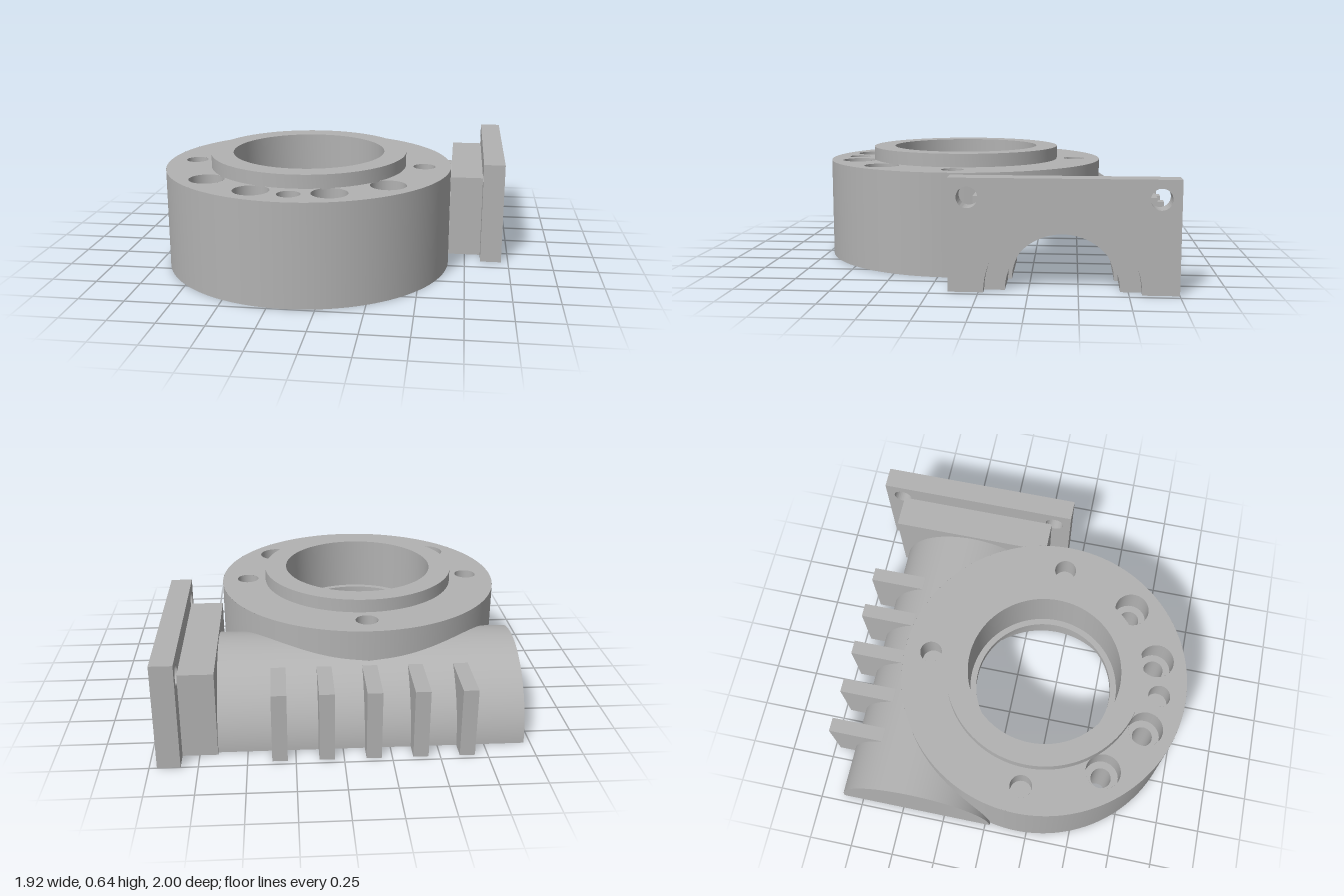
import * as THREE from 'three';
import { mergeGeometries, toCreasedNormals } from 'three/addons/utils/BufferGeometryUtils.js';

const CX = -0.155, CZ = 0.185;           // wheel ring axis
const WZ = -0.42, BORE = 0.27, TUBE = 0.447; // worm axis and radii
const RING = 0.81, CAVITY = 0.49, TOP = 0.565;

const metal = new THREE.MeshStandardMaterial({ color: 0xb2b2b2, side: THREE.DoubleSide });
metal.name = 'cast grey';

// Height of the worm bore above the base plane at a given z
const boreHeight = z => Math.sqrt(Math.max(0, BORE ** 2 - (z - WZ) ** 2));

function add(group, name, geometry, x = 0, y = 0, z = 0) {
  const mesh = new THREE.Mesh(geometry, metal);
  mesh.name = name;
  mesh.position.set(x, y, z);
  group.add(mesh);
  return mesh;
}

// Extrude a (z, y) outline along x
function extrudeX(shape, x0, x1) {
  const g = new THREE.ExtrudeGeometry(shape, { depth: x1 - x0, bevelEnabled: false, curveSegments: 48 });
  g.rotateY(-Math.PI / 2).translate(x1, 0, 0);
  return toCreasedNormals(g, 0.5);
}

function circlePath(x, y, r) {
  return new THREE.Path().absarc(x, y, r, 0, Math.PI * 2, true);
}

// Rectangle with a half-round notch on the worm axis
function notchedPlate(z0, z1, h, r) {
  const s = new THREE.Shape();
  s.moveTo(z0, 0);
  s.lineTo(z0, h);
  s.lineTo(z1, h);
  s.lineTo(z1, 0);
  s.lineTo(WZ + r, 0);
  s.absarc(WZ, 0, r, 0, Math.PI, false);
  return s;
}

// Surface swept along x from a (z, y) path, cut away inside a vertical cylinder
function sweptStrip(path, x0, x1, cut) {
  const pieces = [-1, 1].map(side => {
    const pos = [], idx = [];
    path.forEach(([z, y], i) => {
      const h = Math.sqrt(Math.max(0, cut ** 2 - (z - CZ) ** 2));
      const inner = CX + side * h;
      const [a, b] = side < 0 ? [x0, inner] : [inner, x1];
      pos.push(a, y, z, b, y, z);
      if (i) idx.push(2 * i - 2, 2 * i - 1, 2 * i, 2 * i - 1, 2 * i + 1, 2 * i);
    });
    const g = new THREE.BufferGeometry();
    g.setAttribute('position', new THREE.Float32BufferAttribute(pos, 3));
    g.setIndex(idx);
    g.computeVertexNormals();
    return g;
  });
  return mergeGeometries(pieces);
}

function halfArc(r, n = 96) {
  return Array.from({ length: n + 1 }, (_, i) => {
    const t = Math.PI * i / n;
    return [WZ + r * Math.cos(t), r * Math.sin(t)];
  });
}

// Vertical wall whose lower edge rises over the worm bore
function cutWall(r, top) {
  const g = new THREE.CylinderGeometry(r, r, top, 256, 1, true);
  const p = g.attributes.position;
  for (let i = 0; i < p.count; i++) {
    p.setY(i, p.getY(i) > 0 ? top : boreHeight(p.getZ(i) + CZ));
  }
  return g;
}

const tubeWall = (r, y0, y1) =>
  new THREE.CylinderGeometry(r, r, y1 - y0, 32, 1, true).translate(0, (y0 + y1) / 2, 0);
const disc = r => new THREE.CircleGeometry(r, 32).rotateX(-Math.PI / 2);

function buildRing() {
  const ring = new THREE.Group();
  ring.name = 'wheelRing';
  ring.position.set(CX, 0, CZ);

  const bolts = [[0.49, 0.425], [0.205, 0.615], [-0.205, 0.615], [-0.49, 0.425]];
  const topTaps = [[0.66, 0], [-0.66, 0], [0, 0.66], [0, -0.66]];
  const baseTaps = [[0.68, -0.13], [-0.68, -0.13]];

  add(ring, 'ringOuterWall', cutWall(RING, TOP));
  add(ring, 'wheelCavityWall', cutWall(CAVITY, 0.3));

  // Raised collar, stepped bore and cavity ceiling
  const profile = [[0.555, 0.56], [0.555, 0.64], [0.43, 0.64], [0.43, 0.34],
    [0.395, 0.34], [0.395, 0.3], [CAVITY, 0.3]].map(p => new THREE.Vector2(...p));
  add(ring, 'collarAndBore', toCreasedNormals(new THREE.LatheGeometry(profile, 128), 0.5));

  // Top face with holes
  const top = new THREE.Shape().absarc(0, 0, RING, 0, Math.PI * 2, false);
  top.holes.push(circlePath(0, 0, 0.55));
  bolts.forEach(([x, z]) => top.holes.push(circlePath(x, z, 0.097)));
  topTaps.forEach(([x, z]) => top.holes.push(circlePath(x, z, 0.062)));
  const topFace = new THREE.ShapeGeometry(top, 64);
  topFace.scale(1, -1, 1).rotateX(-Math.PI / 2);
  // Restore upward winding after the mirror
  const ti = topFace.index.array;
  for (let i = 0; i < ti.length; i += 3) [ti[i], ti[i + 1]] = [ti[i + 1], ti[i]];
  topFace.computeVertexNormals();
  add(ring, 'ringTopFace', topFace, 0, TOP, 0);

  // Base face, open towards the worm bore
  const chord = CZ - (WZ + BORE);
  const a = Math.asin(chord / RING), b = Math.asin(chord / CAVITY);
  const base = new THREE.Shape();
  base.absarc(0, 0, RING, -a, Math.PI + a, false);
  base.absarc(0, 0, CAVITY, Math.PI + b, -b, true);
  bolts.forEach(([x, z]) => base.holes.push(circlePath(x, z, 0.057)));
  baseTaps.forEach(([x, z]) => base.holes.push(circlePath(x, z, 0.055)));
  add(ring, 'ringBaseFace', new THREE.ShapeGeometry(base, 64).rotateX(Math.PI / 2));

  // Counterbored through holes
  const seat = 0.4;
  for (const [x, z] of bolts) {
    add(ring, 'counterboreWall', tubeWall(0.097, seat, TOP), x, 0, z);
    add(ring, 'counterboreSeat', new THREE.RingGeometry(0.057, 0.097, 32).rotateX(-Math.PI / 2), x, seat, z);
    add(ring, 'boltHoleWall', tubeWall(0.057, 0, seat), x, 0, z);
  }
  // Blind holes
  for (const [x, z] of topTaps) {
    add(ring, 'topHoleWall', tubeWall(0.062, 0.42, TOP), x, 0, z);
    add(ring, 'topHoleFloor', disc(0.062), x, 0.42, z);
  }
  for (const [x, z] of baseTaps) {
    add(ring, 'baseHoleWall', tubeWall(0.055, 0, 0.25), x, 0, z);
    add(ring, 'baseHoleEnd', disc(0.055), x, 0.25, z);
  }
  return ring;
}

function buildWormHousing() {
  const worm = new THREE.Group();
  worm.name = 'wormHousing';
  const x0 = -0.965, x1 = 0.655, inner = -0.92;

  add(worm, 'wormTube', sweptStrip(halfArc(TUBE), x0, x1, RING));
  add(worm, 'wormBore', sweptStrip(halfArc(BORE), inner, x1, CAVITY));
  add(worm, 'tubeBaseBack', sweptStrip([[WZ - TUBE, 0], [WZ - BORE, 0]], x0, x1, RING));
  add(worm, 'tubeBaseFront', sweptStrip([[WZ + BORE, 0], [WZ + TUBE, 0]], x0, x1, RING));

  // Closed end
  const half = r => new THREE.CircleGeometry(r, 64, 0, Math.PI);
  add(worm, 'tubeEndCap', half(TUBE).rotateY(-Math.PI / 2), x0, 0, WZ);
  add(worm, 'boreEndWall', half(BORE).rotateY(Math.PI / 2), inner, 0, WZ);
  const endBase = new THREE.PlaneGeometry(inner - x0, BORE * 2).rotateX(Math.PI / 2);
  add(worm, 'endBase', endBase, (inner + x0) / 2, 0, WZ);

  // Bearing block with the step down to the worm bore
  add(worm, 'bearingBlock', extrudeX(notchedPlate(-0.89, 0.04, 0.47, 0.29), x1, 0.84));
  const step = new THREE.RingGeometry(BORE, 0.29, 64, 1, 0, Math.PI).rotateY(Math.PI / 2);
  add(worm, 'boreStep', step, x1 + 0.002, 0, WZ);

  // Mounting flange with a shallow recess and two bolt holes
  for (const [name, r, a, b] of [['flangeBack', 0.29, 0.84, 0.9], ['flangeFront', 0.395, 0.9, 0.96]]) {
    const s = notchedPlate(-1, 0.155, 0.578, r);
    for (const z of [-0.9, 0.057]) s.holes.push(circlePath(z, 0.48, 0.054));
    add(worm, name, extrudeX(s, a, b));
  }

  // Cooling ribs
  const rib = new THREE.Shape([[-0.97, 0], [-0.79, 0], [-0.655, 0.38], [-0.97, 0.38]]
    .map(p => new THREE.Vector2(...p)));
  for (let i = -2; i <= 2; i++) {
    const x = CX + i * 0.244;
    add(worm, 'rib', extrudeX(rib, x - 0.04, x + 0.04));
  }
  return worm;
}

export function createModel() {
  const model = new THREE.Group();
  model.name = 'wormGearHousing';
  model.add(buildRing(), buildWormHousing());
  return model;
}
